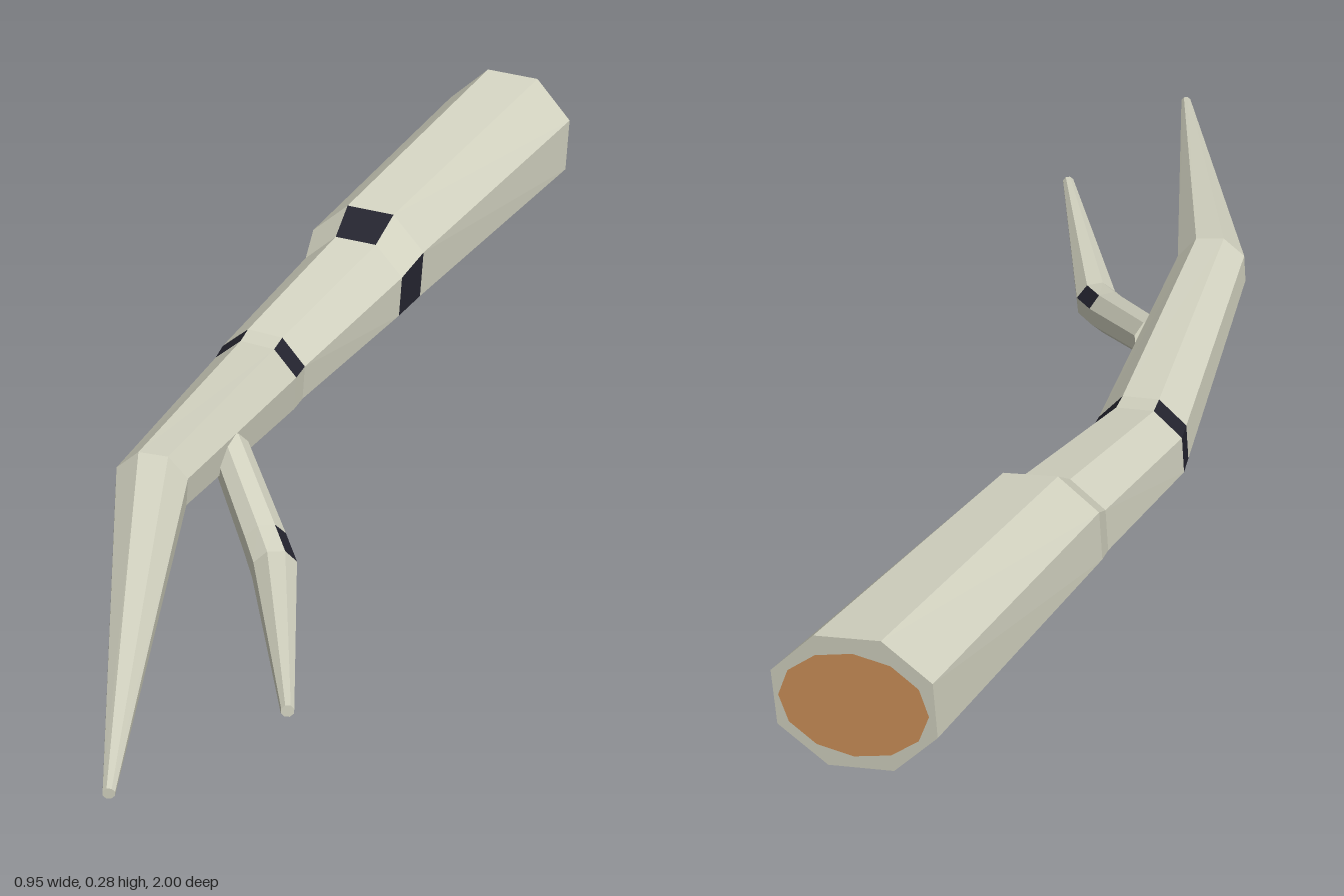
import * as THREE from 'three';

const SIDES = 8;
const START = Math.PI / 10; // turn of the octagon, so no corner points straight up

// Point on a ring; ring = [x, y, z, radius, yaw, lean]
function ringPoint([x, y, z, r, yaw, lean], a, sx = 1, sy = 1) {
  const s = Math.cos(a) * r * sx, h = Math.sin(a) * r * sy;
  return [x + s * Math.cos(yaw), y + h, z + s * Math.sin(yaw) + h * lean];
}

// Skin a run of rings from back to front; marks lists [segment, side] faces to paint dark
function loft(rings, marks, materials) {
  const plain = [], dark = [];
  const at = (i, j) => ringPoint(rings[i], START + (j % SIDES) * Math.PI * 2 / SIDES);
  const last = rings.length - 1;
  for (let i = 0; i < last; i++) {
    for (let j = 0; j < SIDES; j++) {
      const a = at(i, j), b = at(i, j + 1), c = at(i + 1, j + 1), d = at(i + 1, j);
      const marked = marks.some(([mi, mj]) => mi === i && mj === j);
      (marked ? dark : plain).push(...a, ...b, ...c, ...a, ...c, ...d);
    }
  }
  // end caps
  for (let j = 0; j < SIDES; j++) {
    plain.push(...rings[0].slice(0, 3), ...at(0, j + 1), ...at(0, j));
    plain.push(...rings[last].slice(0, 3), ...at(last, j), ...at(last, j + 1));
  }
  const geo = new THREE.BufferGeometry();
  geo.setAttribute('position', new THREE.Float32BufferAttribute([...plain, ...dark], 3));
  geo.addGroup(0, plain.length / 3, 0);
  geo.addGroup(plain.length / 3, dark.length / 3, 1);
  geo.computeVertexNormals();
  return new THREE.Mesh(geo, materials);
}

// Flat disc of bare wood lying just outside the cut end
function cutDisc(ring, material) {
  const n = 12, pos = [];
  const centre = [ring[0], ring[1], ring[2]];
  const at = (j) => ringPoint(ring, (j % n) * Math.PI * 2 / n, 0.86, 0.74);
  for (let j = 0; j < n; j++) pos.push(...centre, ...at(j + 1), ...at(j));
  const geo = new THREE.BufferGeometry();
  geo.setAttribute('position', new THREE.Float32BufferAttribute(pos, 3));
  geo.computeVertexNormals();
  return new THREE.Mesh(geo, material);
}

export function createModel() {
  const make = (name, color) => {
    const m = new THREE.MeshStandardMaterial({ color });
    m.name = name;
    return m;
  };
  const bark = make('paleBark', 0xd3d3c1);
  const scar = make('darkBarkScar', 0x24242f);
  const wood = make('cutWood', 0xd0935a);

  const model = new THREE.Group();
  model.name = 'branch';

  // Main limb: thick cut end, step in, bend, second bend, tip
  const limbRings = [
    [0.365, 0.165, -0.95, 0.122, 0.41, -0.12],
    [0.05, 0.13, -0.505, 0.107, 0.41, -0.05],
    [0.02, 0.108, -0.46, 0.093, 0.41, -0.05],
    [-0.157, 0.079, -0.217, 0.079, 0.48, 0],
    [-0.173, 0.079, -0.18, 0.077, 0.48, 0],
    [-0.368, 0.138, 0.25, 0.06, 0.3, 0],
    [-0.474, 0.093, 0.996, 0.009, 0.12, 0.1],
  ];
  const limb = loft(limbRings, [[1, 1], [1, 7], [3, 0], [3, 2], [3, 3]], [bark, scar]);
  limb.name = 'mainLimb';
  model.add(limb);

  // Side twig
  const twigRings = [
    [-0.237, 0.105, 0.085, 0.032, -0.15, 0.25],
    [-0.201, 0.05, 0.285, 0.035, -0.15, 0.22],
    [-0.192, 0.037, 0.348, 0.036, -0.05, 0.1],
    [-0.214, 0.057, 0.77, 0.01, 0.05, 0],
  ];
  const twig = loft(twigRings, [[1, 0]], [bark, scar]);
  twig.name = 'sideTwig';
  model.add(twig);

  // Bare wood on the cut end
  const disc = cutDisc(limbRings[0], wood);
  disc.name = 'cutEnd';
  disc.position.set(0.0016, 0, -0.0037);
  model.add(disc);

  return model;
}
